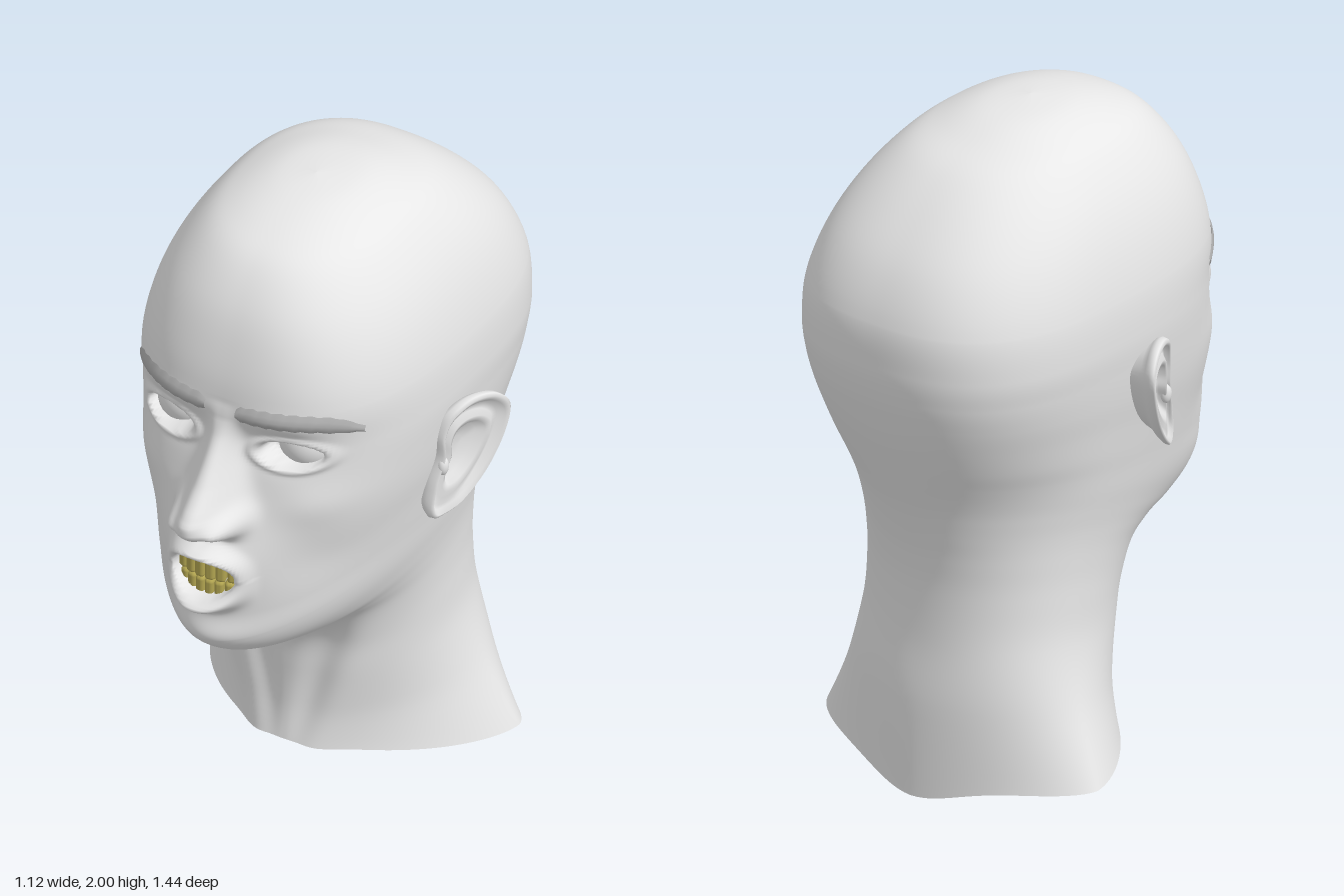
import * as THREE from 'three';
import { RoundedBoxGeometry } from 'three/addons/geometries/RoundedBoxGeometry.js';

const { smoothstep, clamp } = THREE.MathUtils;
const bell = (d, width) => Math.exp(-((d / width) ** 2));

// Rings from crown to neck base: front y, front z, back y, back z, widest z, half width
const RINGS = [
  [2.0, 0, 2.0, 0, 0, 0],
  [1.988, 0.13, 1.987, -0.16, -0.02, 0.12],
  [1.952, 0.26, 1.95, -0.285, -0.03, 0.215],
  [1.9, 0.355, 1.9, -0.405, -0.05, 0.285],
  [1.8, 0.435, 1.8, -0.53, -0.09, 0.36],
  [1.68, 0.485, 1.68, -0.635, -0.12, 0.415],
  [1.54, 0.515, 1.54, -0.7, -0.15, 0.45],
  [1.4, 0.505, 1.41, -0.71, -0.16, 0.458],
  [1.25, 0.525, 1.32, -0.7, -0.15, 0.45],
  [1.1, 0.555, 1.24, -0.68, -0.14, 0.438],
  [0.97, 0.575, 1.16, -0.655, -0.13, 0.422],
  [0.85, 0.59, 1.08, -0.625, -0.12, 0.408],
  [0.76, 0.595, 1.02, -0.602, -0.11, 0.396],
  [0.69, 0.545, 0.96, -0.578, -0.11, 0.385],
  [0.65, 0.45, 0.9, -0.556, -0.12, 0.373],
  [0.64, 0.34, 0.83, -0.535, -0.13, 0.362],
  [0.6, 0.245, 0.75, -0.516, -0.15, 0.354],
  [0.5, 0.18, 0.64, -0.503, -0.17, 0.35],
  [0.38, 0.165, 0.48, -0.505, -0.2, 0.358],
  [0.25, 0.165, 0.29, -0.525, -0.25, 0.405],
  [0.14, 0.18, 0.07, -0.53, -0.29, 0.492],
];

// Squareness of a ring: round crown, boxy skull, rounder jaw and nape, pinched neck base
const frontSquareness = (s) => 2.2 + 0.55 * smoothstep(s, 1, 6) - 0.83 * smoothstep(s, 6.5, 12) + 0.18 * smoothstep(s, 13, 16) - 0.55 * smoothstep(s, 17.5, 20);
const backSquareness = (s) => 2.2 + 0.45 * smoothstep(s, 1, 6) - 0.5 * smoothstep(s, 8, 14) - 0.55 * smoothstep(s, 18, 20);

// Nose height above the face, by y
const NOSE = [[1.105, 0], [1.13, 0.055], [1.15, 0.125], [1.175, 0.162], [1.205, 0.176], [1.235, 0.162],
  [1.29, 0.122], [1.36, 0.08], [1.42, 0.042], [1.47, 0.015], [1.52, 0]];

function noseHeight(y) {
  for (let i = 1; i < NOSE.length; i++) {
    const [y0, h0] = NOSE[i - 1], [y1, h1] = NOSE[i];
    if (y >= y0 && y < y1) return h0 + (h1 - h0) * (y - y0) / (y1 - y0);
  }
  return 0;
}

// Smooth ring between the key rings
function ringAt(s) {
  const i = Math.min(Math.floor(s), RINGS.length - 2), t = s - i;
  const key = (k) => RINGS[clamp(k, 0, RINGS.length - 1)];
  const [a, b, c, d] = [key(i - 1), key(i), key(i + 1), key(i + 2)];
  return b.map((v, k) => v + 0.5 * t * (c[k] - a[k] + t * (2 * a[k] - 5 * v + 4 * c[k] - d[k] + t * (3 * (v - c[k]) + d[k] - a[k]))));
}

// Forward relief of the face
function faceRelief(x, y) {
  const ax = Math.abs(x);
  const noseWidth = 0.042 + 0.03 * smoothstep(1.42 - y, 0, 0.22);
  let d = noseHeight(y) * Math.exp(-((ax / noseWidth) ** 2.4));
  d += 0.078 * bell(ax - 0.08, 0.034) * bell(y - 1.175, 0.038);      // nostril wings
  d -= 0.03 * bell(ax - 0.04, 0.02) * bell(y - 1.135, 0.014);        // nostrils
  d += 0.06 * bell(x, 0.16) * bell(y - 1.02, 0.16);                  // muzzle
  d -= 0.008 * bell(x, 0.018) * bell(y - 1.105, 0.02);               // philtrum
  d += 0.022 * bell(x, 0.12) * bell(y - 0.77, 0.06);                 // chin
  d += 0.015 * bell(ax - 0.28, 0.1) * bell(y - 1.22, 0.07);          // cheekbones
  d -= 0.014 * bell(ax - 0.27, 0.08) * bell(y - 1.03, 0.1);          // cheek hollows
  d += 0.012 * bell(ax - 0.17, 0.13) * bell(y - 1.485, 0.035);       // brow ridge
  d -= 0.024 * bell(ax - 0.17, 0.09) * bell(y - 1.39, 0.055);        // eye sockets
  const mouth = Math.hypot(x / 0.094, (y - 0.988) / 0.066);
  const lip = y > 0.988 ? bell(mouth - 1.3, 0.26) : bell(mouth - 1.42, 0.36);
  d += 0.064 * lip * Math.max(0, 1 - (x / 0.15) ** 2);
  d -= 0.16 * (1 - smoothstep(mouth, 0.85, 1.06));
  const eye = Math.hypot((ax - 0.197) / 0.092, (y - 1.38) / 0.042);
  d += 0.013 * bell(eye - 1.18, 0.2) - 0.05 * (1 - smoothstep(eye, 0.8, 1));
  return d;
}

function headPoint(s, angle) {
  const [yf, zf, yb, zb, mid, half] = ringAt(s);
  const sin = Math.sin(angle), cos = Math.cos(angle);
  const n = cos > 0 ? frontSquareness(s) : backSquareness(s);
  const r = (Math.abs(sin) ** n + Math.abs(cos) ** n) ** (-1 / n);
  const x = half * r * sin;
  let z = mid + (cos > 0 ? zf - mid : mid - zb) * r * cos;
  const t = zf - zb > 1e-6 ? clamp((zf - z) / (zf - zb), 0, 1) : 0;
  let y = yf + (yb - yf) * (1 - (1 - t) ** 2);
  if (cos > 0) {
    const neck = smoothstep(s, 15.5, 17);
    z += faceRelief(x, y) * smoothstep(z, 0.1, 0.3) * (1 - neck);
    // Neck muscles running from the throat up behind the jaw
    const line = Math.abs(x) - (0.1 + 0.35 * (y - 0.15));
    z += neck * cos * (0.02 * bell(line, 0.07) - 0.022 * bell(line + 0.1, 0.06) * (1 - bell(x, 0.07)));
  } else {
    y -= 0.07 * bell(x, 0.2) * smoothstep(s, 19, 20);
  }
  return [x, y, z];
}

// Surface through a grid of points; wrap joins the last column to the first
function surface(rows, cols, point, wrap) {
  const positions = [], index = [], stride = wrap ? cols : cols + 1;
  for (let r = 0; r <= rows; r++) for (let c = 0; c < stride; c++) positions.push(...point(r, c));
  for (let r = 0; r < rows; r++) {
    for (let c = 0; c < cols; c++) {
      const a = r * stride + c, d = r * stride + (c + 1) % stride;
      index.push(a, a + stride, d, a + stride, d + stride, d);
    }
  }
  const geometry = new THREE.BufferGeometry();
  geometry.setAttribute('position', new THREE.Float32BufferAttribute(positions, 3));
  geometry.setIndex(index);
  geometry.computeVertexNormals();
  return geometry;
}

function headGeometry() {
  // Finer rows across the face
  const steps = [];
  for (let i = 0; i < RINGS.length - 1; i++) {
    const count = i >= 6 && i <= 11 ? 18 : 6;
    for (let k = 0; k < count; k++) steps.push(i + k / count);
  }
  steps.push(RINGS.length - 1);
  const cols = 192;
  return surface(steps.length - 1, cols, (r, c) => {
    const a = (c / cols) * Math.PI * 2;
    return headPoint(steps[r], a - 0.5 * Math.sin(a)); // columns crowd toward the front
  }, true);
}

function earGeometry(side) {
  const outline = new THREE.CatmullRomCurve3([
    [0.085, 1.01], [0.02, 1.045], [-0.06, 1.13], [-0.12, 1.25], [-0.132, 1.33], [-0.09, 1.38],
    [-0.02, 1.392], [0.04, 1.36], [0.066, 1.29], [0.066, 1.21], [0.09, 1.12], [0.1, 1.04],
  ].map(([z, y]) => new THREE.Vector3(0, y, z)), true);
  // Scale and outward offset, from the root over the rim into the bowl
  const profile = [[0.7, -0.12], [0.8, -0.05], [0.95, -0.025], [1, -0.008], [0.99, 0.008], [0.94, 0.014], [0.87, 0.008],
    [0.8, -0.012], [0.7, -0.012], [0.6, 0], [0.5, -0.006], [0.42, -0.03], [0.2, -0.04], [0, -0.04]];
  const cols = 64;
  return surface(profile.length - 1, cols, (r, c) => {
    const [scale, lift] = profile[r];
    const p = outline.getPoint(side > 0 ? 1 - c / cols : c / cols);
    const z = p.z * scale, y = 1.21 + (p.y - 1.21) * scale;
    // The lobe stays filled, and the front edge sinks into the cheek
    const bowl = r > 5 ? lift * smoothstep(y, 1.03, 1.16) : lift;
    const sink = 0.014 * smoothstep(z, 0.02, 0.08);
    return [side * (0.442 + (0.1 - z) * 0.47 + bowl - sink), y, z];
  }, true);
}

export function createModel() {
  const model = new THREE.Group();
  const material = (name, color) => {
    const m = new THREE.MeshStandardMaterial({ color, side: THREE.DoubleSide });
    m.name = name;
    return m;
  };
  const skin = material('skin', 0xe8e8e8);
  const hair = material('browHair', 0xb0b0b0);
  const gold = material('goldTeeth', 0xb0a350);
  const add = (name, geometry, mat, parent = model) => {
    const mesh = new THREE.Mesh(geometry, mat);
    mesh.name = name;
    parent.add(mesh);
    return mesh;
  };

  const head = add('headAndNeck', headGeometry(), skin);
  head.updateMatrixWorld(true);
  const ray = new THREE.Raycaster();
  const skinZ = (x, y) => {
    ray.set(new THREE.Vector3(x, y, 2), new THREE.Vector3(0, 0, -1));
    const hit = ray.intersectObject(head)[0];
    return hit ? hit.point.z : 0.4;
  };

  for (const side of [1, -1]) {
    const label = side > 0 ? 'left' : 'right';
    add(label + 'Ear', earGeometry(side), skin);

    const tragus = add(label + 'EarTragus', new THREE.SphereGeometry(0.02, 16, 12), skin);
    tragus.scale.set(0.8, 1.5, 0.9);
    tragus.position.set(side * 0.45, 1.18, 0.055);

    const eye = add(label + 'Eyeball', new THREE.SphereGeometry(0.094, 32, 24), skin);
    eye.position.set(side * 0.197, 1.38, 0.357);

    // Eyebrow: a domed strip laid on the brow ridge, its outer end turning down
    add(label + 'Eyebrow', surface(4, 24, (r, c) => {
      const u = side > 0 ? c / 24 : 1 - c / 24, v = 1 - r / 2;
      const x = side * (0.05 + 0.32 * u);
      const middle = 1.5 + 0.008 * Math.sin(u * Math.PI) - 0.042 * u ** 7;
      const thick = 0.027 * Math.min(1, 0.6 + u * 8, 0.4 + (1 - u) * 4) * (1 + 0.1 * Math.sin(c * 2.1));
      const y = middle + v * thick;
      return [x, y, skinZ(x, y) + 0.012 - 0.01 * v * v];
    }, false), hair);
  }

  // Two curved rows of teeth
  const teeth = new THREE.Group();
  teeth.name = 'teeth';
  model.add(teeth);
  for (const [row, y, height, width] of [['upper', 1.01, 0.088, 0.031], ['lower', 0.939, 0.056, 0.028]]) {
    for (let i = 0; i < 6; i++) {
      const x = (i - 2.5) * width;
      const tooth = add(row + 'Tooth' + (i + 1), new RoundedBoxGeometry(width, height, 0.035, 3, 0.011), gold, teeth);
      tooth.position.set(x, y, 0.6 - 3 * x * x);
      tooth.rotation.y = Math.atan(6 * x);
    }
  }
  return model;
}
